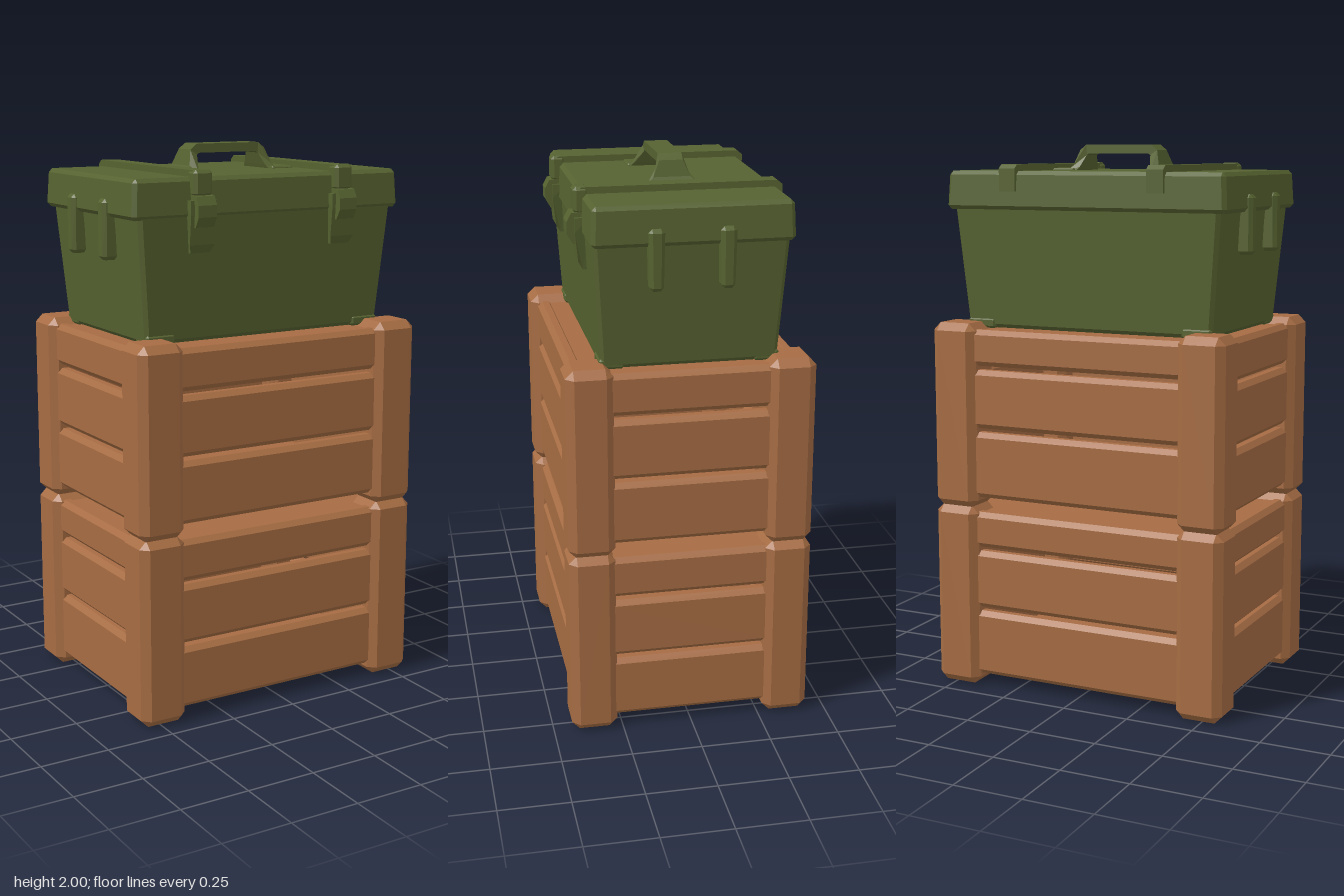
import * as THREE from 'three';
import { ConvexGeometry } from 'three/addons/geometries/ConvexGeometry.js';

const wood = new THREE.MeshStandardMaterial({ color: 0xa66c43, flatShading: true });
wood.name = 'brown wood';
const green = new THREE.MeshStandardMaterial({ color: 0x566230, flatShading: true });
green.name = 'olive green paint';

// Box with chamfered edges
function chamferBox(w, h, d, c) {
  const pts = [];
  for (const x of [-1, 1]) for (const y of [-1, 1]) for (const z of [-1, 1]) {
    const [a, b, e] = [w / 2, h / 2, d / 2];
    pts.push(new THREE.Vector3(x * a, y * (b - c), z * (e - c)));
    pts.push(new THREE.Vector3(x * (a - c), y * b, z * (e - c)));
    pts.push(new THREE.Vector3(x * (a - c), y * (b - c), z * e));
  }
  return new ConvexGeometry(pts);
}

function reshape(geo, rule) {
  const p = geo.attributes.position;
  const v = new THREE.Vector3();
  for (let i = 0; i < p.count; i++) {
    rule(v.fromBufferAttribute(p, i));
    p.setXYZ(i, v.x, v.y, v.z);
  }
  geo.computeVertexNormals();
  return geo;
}

function add(parent, name, geo, mat, x = 0, y = 0, z = 0) {
  const mesh = new THREE.Mesh(geo, mat);
  mesh.name = name;
  mesh.position.set(x, y, z);
  parent.add(mesh);
  return mesh;
}

// Chamfered block given by its limits on each axis
function block(parent, name, mat, [x0, x1], [y0, y1], [z0, z1], c) {
  return add(parent, name, chamferBox(x1 - x0, y1 - y0, z1 - z0, c), mat,
    (x0 + x1) / 2, (y0 + y1) / 2, (z0 + z1) / 2);
}

// Profile drawn in (z, y), extruded along x and centred there
function profileX(points, width) {
  const shape = new THREE.Shape(points.map(([z, y]) => new THREE.Vector2(-z, y)));
  const geo = new THREE.ExtrudeGeometry(shape, { depth: width, bevelEnabled: false });
  return geo.translate(0, 0, -width / 2).rotateY(Math.PI / 2);
}

function createCrate(name, y, seeThrough) {
  const crate = new THREE.Group();
  crate.name = name;
  crate.position.y = y;

  // Four corner posts
  for (const s of [-1, 1]) for (const t of [-1, 1]) {
    add(crate, 'cornerPost', chamferBox(0.175, 0.682, 0.165, 0.028), wood, s * 0.486, 0.341, t * 0.3515);
  }

  // Three slats on every side; the far joints sit slightly higher
  const slats = (shift) => [[0.04, 0.265 + shift], [0.28 + shift, 0.495 + shift], [0.51 + shift, 0.66]];
  for (const s of [-1, 1]) {
    for (const r of slats(s < 0 ? 0.018 : 0)) {
      block(crate, 'longSlat', wood, [-0.43, 0.43], r, s > 0 ? [0.35, 0.41] : [-0.41, -0.35], 0.018);
    }
    for (const r of slats(s < 0 && !seeThrough ? 0.018 : 0)) {
      block(crate, 'shortSlat', wood, s > 0 ? [0.49, 0.55] : [-0.55, -0.49], r, [-0.3, 0.3], 0.018);
    }
  }

  // Floor and lid panels
  add(crate, 'floorPanel', new THREE.BoxGeometry(1.04, 0.04, 0.76), wood, 0, 0.065, 0);
  add(crate, 'topPanel', new THREE.BoxGeometry(1.04, 0.04, 0.76), wood, 0, 0.635, 0);
  return crate;
}

function createToolbox() {
  const box = new THREE.Group();
  box.name = 'toolbox';

  // Tapered body
  const body = reshape(chamferBox(1.04, 0.45, 0.67, 0.014), (v) => {
    const t = (0.225 - v.y) / 0.45;
    v.x *= 1 - 0.075 * t;
    v.z *= 1 - 0.085 * t;
  });
  add(box, 'body', body, green, 0, 1.565, -0.005);
  for (const s of [-1, 1]) for (const t of [-1, 1]) {
    block(box, 'foot', green, s > 0 ? [0.37, 0.482] : [-0.482, -0.37], [1.338, 1.375],
      t > 0 ? [0.22, 0.308] : [-0.318, -0.23], 0.008);
  }

  // Lid with a sloped top edge
  const lid = reshape(chamferBox(1.09, 0.138, 0.69, 0.014), (v) => {
    if (v.y > 0.03) { v.x *= 0.988; v.z *= 0.985; }
  });
  add(box, 'lid', lid, green, 0, 1.838, -0.007);

  for (const s of [-1, 1]) {
    const x = s * 0.288;
    // Strap over the lid, folded down front and back
    const strap = profileX([[0.352, 1.84], [0.352, 1.915], [0.335, 1.93], [-0.342, 1.93],
      [-0.36, 1.915], [-0.36, 1.835], [-0.33, 1.835], [-0.33, 1.89], [0.32, 1.89], [0.32, 1.84]], 0.064);
    add(box, 'strap', strap, green, x);
    // Front latch: back plate, bulging clasp and hinge knuckle
    const plate = profileX([[0.31, 1.65], [0.335, 1.65], [0.352, 1.68], [0.362, 1.78], [0.362, 1.83], [0.31, 1.83]], 0.1);
    add(box, 'latchPlate', reshape(plate, (v) => { if (v.y < 1.66) v.x *= 0.75; }), green, x);
    const clasp = profileX([[0.33, 1.735], [0.368, 1.74], [0.388, 1.775], [0.388, 1.815], [0.372, 1.845], [0.33, 1.85]], 0.072);
    add(box, 'latchClasp', clasp, green, x);
    block(box, 'latchKnuckle', green, [x - 0.037, x + 0.037], [1.84, 1.932], [0.31, 0.364], 0.012);

    // Side clips
    for (const z of [-0.12, 0.122]) {
      const clip = reshape(chamferBox(0.06, 0.21, 0.056, 0.013), (v) => { if (v.y < -0.08) v.z *= 0.85; });
      add(box, 'sideClip', clip, green, s * 0.53, 1.725, z);
    }

    // Handle mounting pad
    block(box, 'handlePad', green, s > 0 ? [0.155, 0.246] : [-0.246, -0.155], [1.89, 1.915], [-0.098, 0.096], 0.006);
  }

  // Carry handle, flared towards its feet
  const half = [[0.19, 1.9], [0.172, 1.925], [0.155, 1.98], [0.13, 2.0]];
  const inner = [[0.118, 1.968], [0.128, 1.962], [0.142, 1.92], [0.15, 1.9]];
  const mirror = (pts) => pts.map(([x, y]) => [-x, y]).reverse();
  const outline = [...half, ...mirror(half), ...mirror(inner).slice().map((p) => p), ...inner];
  const shape = new THREE.Shape(outline.map(([x, y]) => new THREE.Vector2(x, y)));
  const handle = new THREE.ExtrudeGeometry(shape, { depth: 2, bevelEnabled: false }).translate(0, 0, -1);
  reshape(handle, (v) => {
    const t = THREE.MathUtils.clamp((1.965 - v.y) / 0.06, 0, 1);
    v.z = v.z * (0.042 + 0.052 * t * t) - 0.004;
  });
  add(box, 'handle', handle, green);
  return box;
}

export function createModel() {
  const model = new THREE.Group();
  model.name = 'stackedCratesWithToolbox';
  model.add(createCrate('lowerCrate', 0.004, false));
  model.add(createCrate('upperCrate', 0.68, true));
  model.add(createToolbox());
  return model;
}
